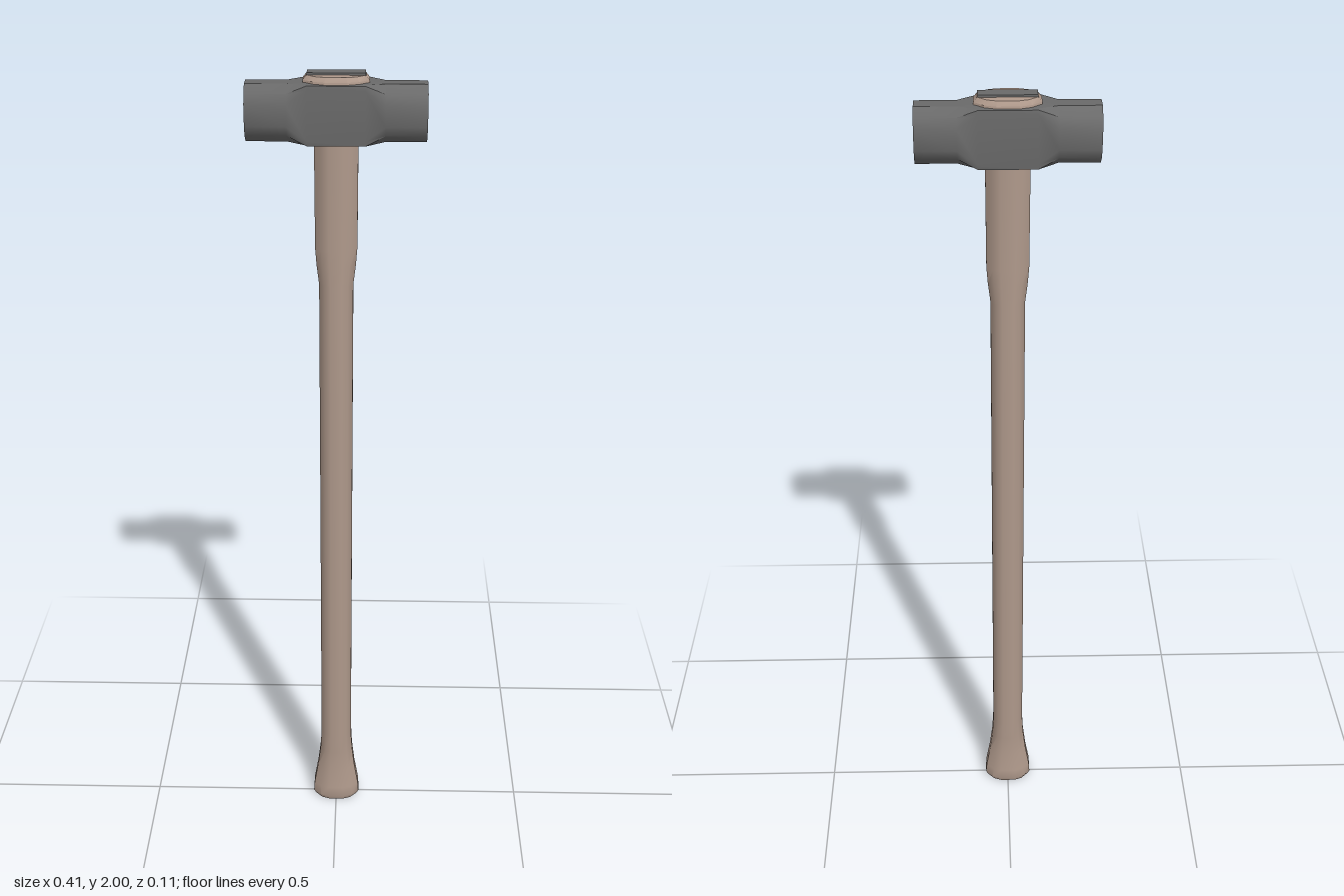
import * as THREE from 'three';
import { toCreasedNormals } from 'three/addons/utils/BufferGeometryUtils.js';

// Mirror three corner points of one quadrant into a closed ring of twelve
function ring(h, quadrant) {
  const back = [...quadrant].reverse();
  return [
    ...quadrant.map(([u, w]) => [u, h, -w]),
    ...back.map(([u, w]) => [-u, h, -w]),
    ...quadrant.map(([u, w]) => [-u, h, w]),
    ...back.map(([u, w]) => [u, h, w]),
  ];
}

// Skin a stack of rings along y and close both ends
function loft(rings) {
  const n = rings[0].length;
  const pos = rings.flat(2);
  const index = [];
  for (let i = 0; i < rings.length - 1; i++) {
    for (let j = 0; j < n; j++) {
      const a = i * n + j, b = i * n + (j + 1) % n;
      index.push(a, b, b + n, a, b + n, a + n);
    }
  }
  const top = (rings.length - 1) * n;
  for (let j = 1; j < n - 1; j++) {
    index.push(0, j + 1, j, top, top + j, top + j + 1);
  }
  const geometry = new THREE.BufferGeometry();
  geometry.setAttribute('position', new THREE.Float32BufferAttribute(pos, 3));
  geometry.setIndex(index);
  return toCreasedNormals(geometry, 0.65);
}

// Faceted oval used along the wooden handle
const oval = (h, rx, rz) => ring(h, [[rx, rz * 0.36], [rx * 0.69, rz * 0.82], [rx * 0.34, rz]]);

export function createModel() {
  const group = new THREE.Group();
  const wood = new THREE.MeshStandardMaterial({ color: 0xb09a8c });
  const steel = new THREE.MeshStandardMaterial({ color: 0x6a6a6a });
  const add = (name, geometry, material) => {
    const mesh = new THREE.Mesh(geometry, material);
    mesh.name = name;
    group.add(mesh);
    return mesh;
  };

  // Handle: flared grip end, slim shaft, thicker neck under the head
  add('handle', loft([
    [0, 0.056, 0.040], [0.012, 0.062, 0.045], [0.04, 0.060, 0.043],
    [0.10, 0.050, 0.038], [0.16, 0.043, 0.040], [0.22, 0.040, 0.043],
    [1.51, 0.040, 0.043], [1.56, 0.046, 0.043], [1.60, 0.049, 0.043],
    [1.88, 0.050, 0.043],
  ].map((s) => oval(...s))), wood);

  // Handle end showing through the top of the head
  add('handleTip', loft([
    [1.95, 0.074, 0.048], [1.985, 0.074, 0.048], [1.995, 0.066, 0.041],
  ].map((s) => oval(...s))), wood);

  // Wedge driven into the handle end
  add('wedge', new THREE.BoxGeometry(0.13, 0.03, 0.034), steel).position.y = 1.985;

  // Head: square eye block blending into two faceted round striking ends
  const face = [[0.064, 0.020], [0.046, 0.042], [0.024, 0.052]];
  const block = [[0.067, 0.045], [0.066, 0.054], [0.056, 0.055]];
  const head = loft([
    [-0.203, face], [-0.11, face], [-0.065, block],
    [0.065, block], [0.11, face], [0.203, face],
  ].map(([x, section]) => ring(x, section)));
  head.rotateZ(-Math.PI / 2);
  add('head', head, steel).position.y = 1.913;

  return group;
}
